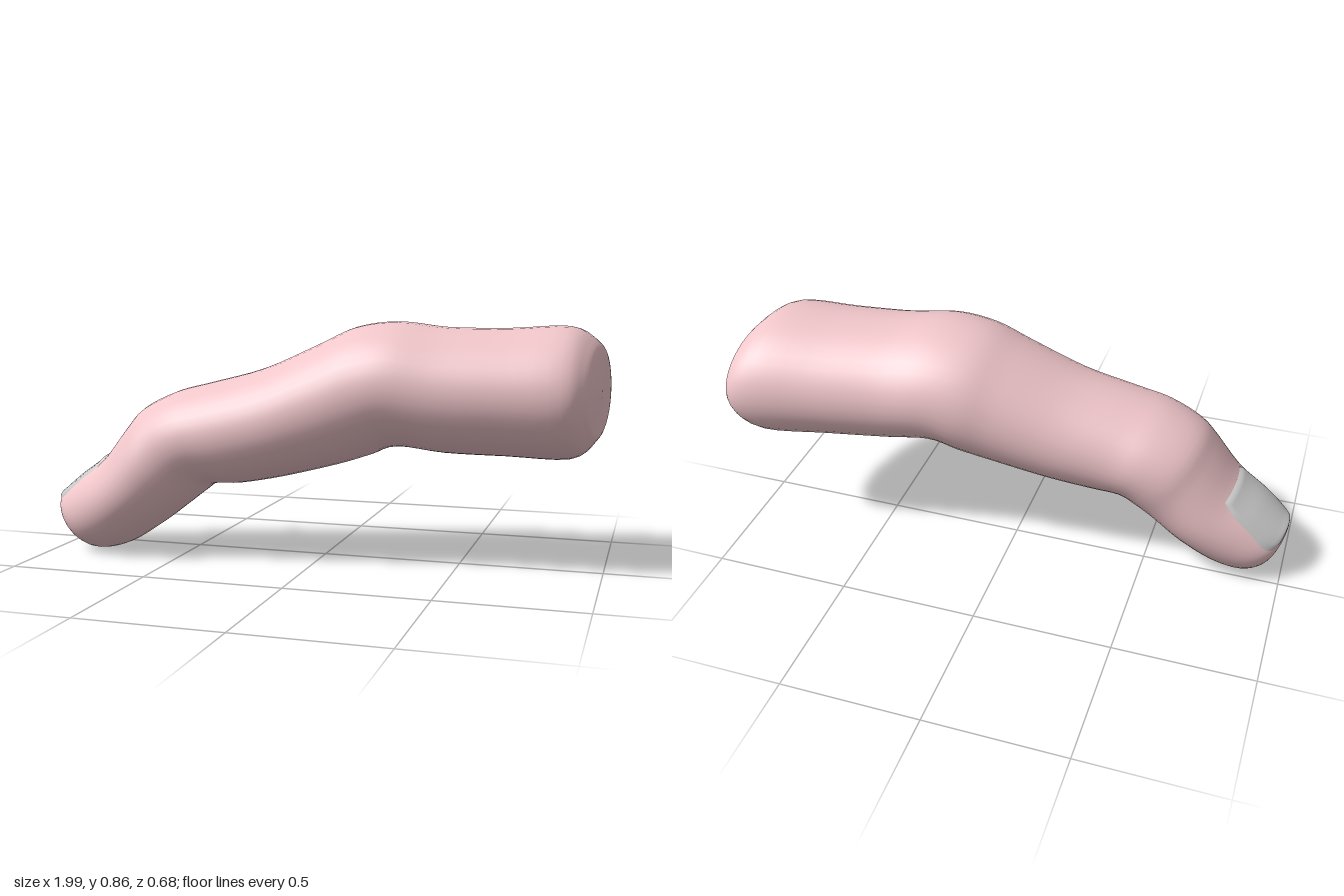
import * as THREE from 'three';
import { mergeVertices } from 'three/addons/utils/BufferGeometryUtils.js';

// Cross-sections from fingertip to cut end:
// top x, top y, bottom x, bottom y, min z, max z, slant of x along z
const SECTIONS = [
  [-0.985, 0.13, -0.985, 0.13, 0.11, 0.11, 0],
  [-0.995, 0.17, -0.955, 0.07, 0.05, 0.17, 0],
  [-1.0, 0.2, -0.91, 0.02, 0.0, 0.22, 0],
  [-0.97, 0.225, -0.83, 0.0, -0.04, 0.27, 0],
  [-0.9, 0.28, -0.72, 0.03, -0.07, 0.31, 0],
  [-0.8, 0.355, -0.6, 0.105, -0.095, 0.335, 0],
  [-0.71, 0.47, -0.5, 0.18, -0.105, 0.337, 0],
  [-0.65, 0.54, -0.43, 0.235, -0.12, 0.328, 0],
  [-0.53, 0.6, -0.38, 0.267, -0.13, 0.33, 0],
  [-0.4, 0.635, -0.28, 0.273, -0.137, 0.325, 0],
  [-0.2, 0.69, -0.13, 0.3, -0.165, 0.315, 0],
  [0.0, 0.78, 0.07, 0.35, -0.205, 0.305, 0],
  [0.13, 0.84, 0.18, 0.385, -0.235, 0.3, 0],
  [0.28, 0.86, 0.28, 0.42, -0.25, 0.293, 0],
  [0.45, 0.842, 0.45, 0.402, -0.263, 0.275, 0],
  [0.66, 0.84, 0.66, 0.395, -0.3, 0.255, 0],
  [0.86, 0.848, 0.88, 0.39, -0.342, 0.232, -0.04],
  [0.945, 0.8, 0.958, 0.45, -0.325, 0.18, -0.1],
  [0.968, 0.75, 0.97, 0.5, -0.26, 0.12, -0.1],
  [0.975, 0.63, 0.975, 0.63, -0.07, -0.07, 0],
];

// Smooth interpolation of the sections
function sectionAt(s) {
  const last = SECTIONS.length - 1;
  const i = Math.min(Math.floor(s), last - 1), t = s - i;
  const at = (k) => SECTIONS[Math.max(0, Math.min(last, k))];
  const [a, b, c, d] = [at(i - 1), at(i), at(i + 1), at(i + 2)];
  return b.map((p, k) => p + 0.5 * t * (c[k] - a[k]
    + t * (2 * a[k] - 5 * p + 4 * c[k] - d[k] + t * (3 * (p - c[k]) + d[k] - a[k]))));
}

// Point on the skin: angle 0 is the top, growing towards +z
function skinPoint(s, angle, lift = 0) {
  const [tx, ty, bx, by, z0, z1, slant] = sectionAt(s);
  const ux = (tx - bx) / 2, uy = (ty - by) / 2;
  const c = Math.cos(angle), dz = Math.sin(angle) * (z1 - z0) / 2;
  const l = lift / (Math.hypot(ux, uy) || 1);
  return [
    (tx + bx) / 2 + ux * (c + l) + slant * dz,
    (ty + by) / 2 + uy * (c + l),
    (z0 + z1) / 2 + dz,
  ];
}

// Grid surface with welded seams and smooth normals
function gridGeometry(point, nu, nv) {
  const pos = [], index = [];
  for (let i = 0; i <= nu; i++) {
    for (let j = 0; j <= nv; j++) {
      pos.push(...point(i / nu, j / nv));
      if (i < nu && j < nv) {
        const a = i * (nv + 1) + j, b = a + nv + 1;
        index.push(a, a + 1, b, a + 1, b + 1, b);
      }
    }
  }
  const g = new THREE.BufferGeometry();
  g.setAttribute('position', new THREE.Float32BufferAttribute(pos, 3));
  g.setIndex(index);
  const welded = mergeVertices(g, 1e-5);
  welded.computeVertexNormals();
  return welded;
}

export function createModel() {
  const group = new THREE.Group();
  group.name = 'finger';

  // Bent finger with a rounded tip and a blunt cut end
  const spans = SECTIONS.length - 1;
  const skin = new THREE.Mesh(
    gridGeometry((u, v) => skinPoint(u * spans, (v % 1) * Math.PI * 2), spans * 4, 40),
    new THREE.MeshStandardMaterial({ color: 0xf0c6ca }),
  );
  skin.name = 'skin';
  group.add(skin);

  // Nail: a thin plate over the top of the tip, its rim sunk into the skin
  const nailPoint = (u, v) => {
    const s = 2 + 3.08 * u;
    const [, , , , z0, z1] = sectionAt(s);
    const round = Math.sqrt(1 - Math.max(0, 1 - u / 0.5) ** 2);
    const half = (0.05 + 0.072 * round) * (1 - 0.12 * Math.max(0, u - 0.85) / 0.15);
    const z = 0.092 + half * (2 * v - 1);
    const sine = (z - (z0 + z1) / 2) / ((z1 - z0) / 2);
    const rim = u === 0 || u === 1 || v === 0 || v === 1;
    return skinPoint(s, Math.asin(THREE.MathUtils.clamp(sine, -0.95, 0.95)), rim ? -0.006 : 0.008);
  };
  const nail = new THREE.Mesh(
    gridGeometry(nailPoint, 24, 24),
    new THREE.MeshStandardMaterial({ color: 0xcccccc, side: THREE.DoubleSide }),
  );
  nail.name = 'nail';
  group.add(nail);

  return group;
}
